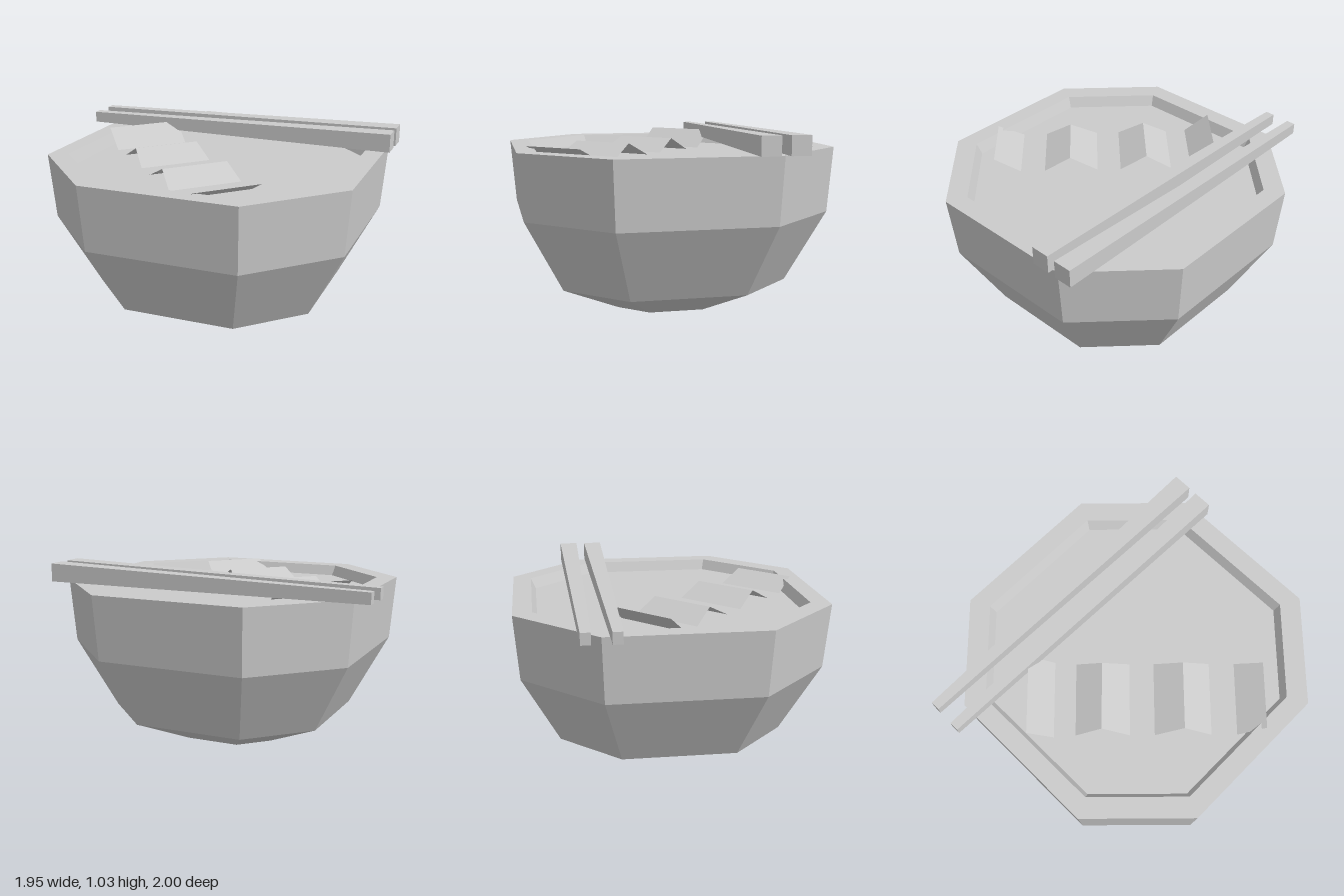
import * as THREE from 'three';

const V = (x, y, z) => new THREE.Vector3(x, y, z);

// Skin a series of cross-sections; closed sections wrap round.
function loft(rings, closed = true) {
  const pos = [];
  const tri = (a, b, c) => {
    if (new THREE.Triangle(a, b, c).getArea() > 1e-7) {
      for (const p of [a, b, c]) pos.push(p.x, p.y, p.z);
    }
  };
  const n = rings[0].length;
  for (let k = 0; k < rings.length - 1; k++) {
    for (let i = 0; i < (closed ? n : n - 1); i++) {
      const j = (i + 1) % n;
      tri(rings[k][i], rings[k][j], rings[k + 1][j]);
      tri(rings[k][i], rings[k + 1][j], rings[k + 1][i]);
    }
  }
  const geo = new THREE.BufferGeometry();
  geo.setAttribute('position', new THREE.Float32BufferAttribute(pos, 3));
  geo.computeVertexNormals();
  return geo;
}

// Square with cut corners: half width a, flat sides a third as long.
function octagon(a, y) {
  const b = a / 3;
  return [[-b, a], [b, a], [a, b], [a, -b], [b, -a], [-b, -a], [-a, -b], [-a, b]]
    .map(([x, z]) => V(x - 0.06, y, z + 0.08));
}

// Tapered stick with a flat underside, from thin tip to thick end.
function chopstick(tip, end) {
  const dir = V(end[0] - tip[0], 0, end[1] - tip[1]).normalize();
  const side = V(dir.z, 0, -dir.x);
  const section = ([x, z], half, top) =>
    [[1, top], [-1, top], [-1, 0.922], [1, 0.922]]
      .map(([s, y]) => V(x, y, z).addScaledVector(side, s * half));
  const cap = ([x, z], y) => Array.from({ length: 4 }, () => V(x, y, z));
  return loft([
    cap(tip, 0.95), section(tip, 0.026, 0.985),
    section(end, 0.053, 1.026), cap(end, 0.97),
  ]);
}

export function createModel() {
  const model = new THREE.Group();
  const add = (name, geometry, side = THREE.FrontSide) => {
    const mesh = new THREE.Mesh(geometry, new THREE.MeshStandardMaterial({
      color: 0xcccccc, flatShading: true, side,
    }));
    mesh.name = name;
    model.add(mesh);
  };

  // Bowl: foot, flared wall, flat rim and short inner wall
  const profile = [[0, 0], [0.325, 0], [0.67, 0.155], [0.89, 0.558],
    [0.92, 0.922], [0.808, 0.922], [0.78, 0.862]];
  add('bowl', loft(profile.map(([a, y]) => octagon(a, y))));

  // Soup surface
  add('soup', loft([octagon(0.78, 0.862), octagon(0, 0.862)]));

  // Noodle strip folding in and out of the soup: z, y, right x, left x
  const folds = [
    [-0.5, 0.966, -0.535, -0.105], [-0.315, 0.826, -0.53, -0.108],
    [-0.105, 0.936, -0.505, -0.135], [0.11, 0.83, -0.53, -0.11],
    [0.335, 0.936, -0.505, -0.135], [0.55, 0.828, -0.53, -0.11],
    [0.77, 0.935, -0.505, -0.138],
  ];
  add('noodle', loft(folds.map(([z, y, x0, x1]) => [V(x1, y, z), V(x0, y, z)]), false),
    THREE.DoubleSide);

  // Chopsticks resting across the rim
  add('innerChopstick', chopstick([-0.503, -0.878], [0.823, 0.468]));
  add('outerChopstick', chopstick([-0.39, -0.983], [0.935, 0.36]));

  return model;
}
